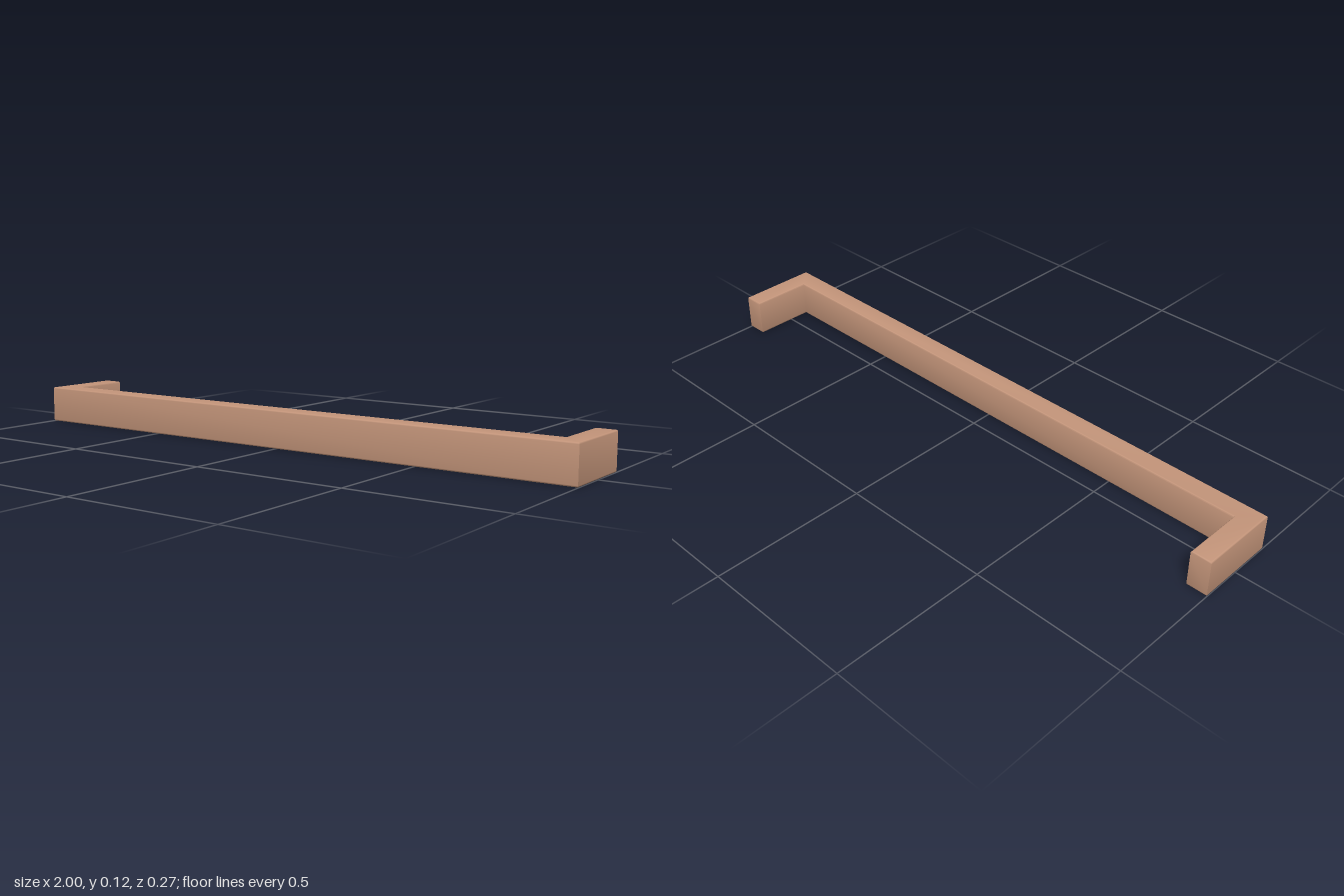
import * as THREE from 'three';
import { toCreasedNormals } from 'three/addons/utils/BufferGeometryUtils.js';

export function createModel() {
  const group = new THREE.Group();
  group.name = 'barHandle';

  const halfLength = 1, halfDepth = 0.133, height = 0.121;
  const thickness = 0.067, bevel = 0.005;
  const inner = halfLength - thickness;

  // U-shaped plan: a long front bar with a short leg going back at each end
  const plan = new THREE.Shape([
    [-halfLength, -halfDepth], [halfLength, -halfDepth],
    [halfLength, halfDepth], [inner, halfDepth],
    [inner, -halfDepth + thickness], [-inner, -halfDepth + thickness],
    [-inner, halfDepth], [-halfLength, halfDepth],
  ].map(([x, y]) => new THREE.Vector2(x, y)));

  // Extrude upwards with softened edges, keeping the outer size
  const geometry = new THREE.ExtrudeGeometry(plan, {
    depth: height - 2 * bevel,
    bevelEnabled: true,
    bevelThickness: bevel,
    bevelSize: bevel,
    bevelOffset: -bevel,
    bevelSegments: 3,
  });
  geometry.rotateX(-Math.PI / 2);
  geometry.translate(0, bevel, 0);

  const handle = new THREE.Mesh(
    toCreasedNormals(geometry, Math.PI / 5),
    new THREE.MeshStandardMaterial({ color: 0xc4957a })
  );
  handle.name = 'handle';
  group.add(handle);
  return group;
}
